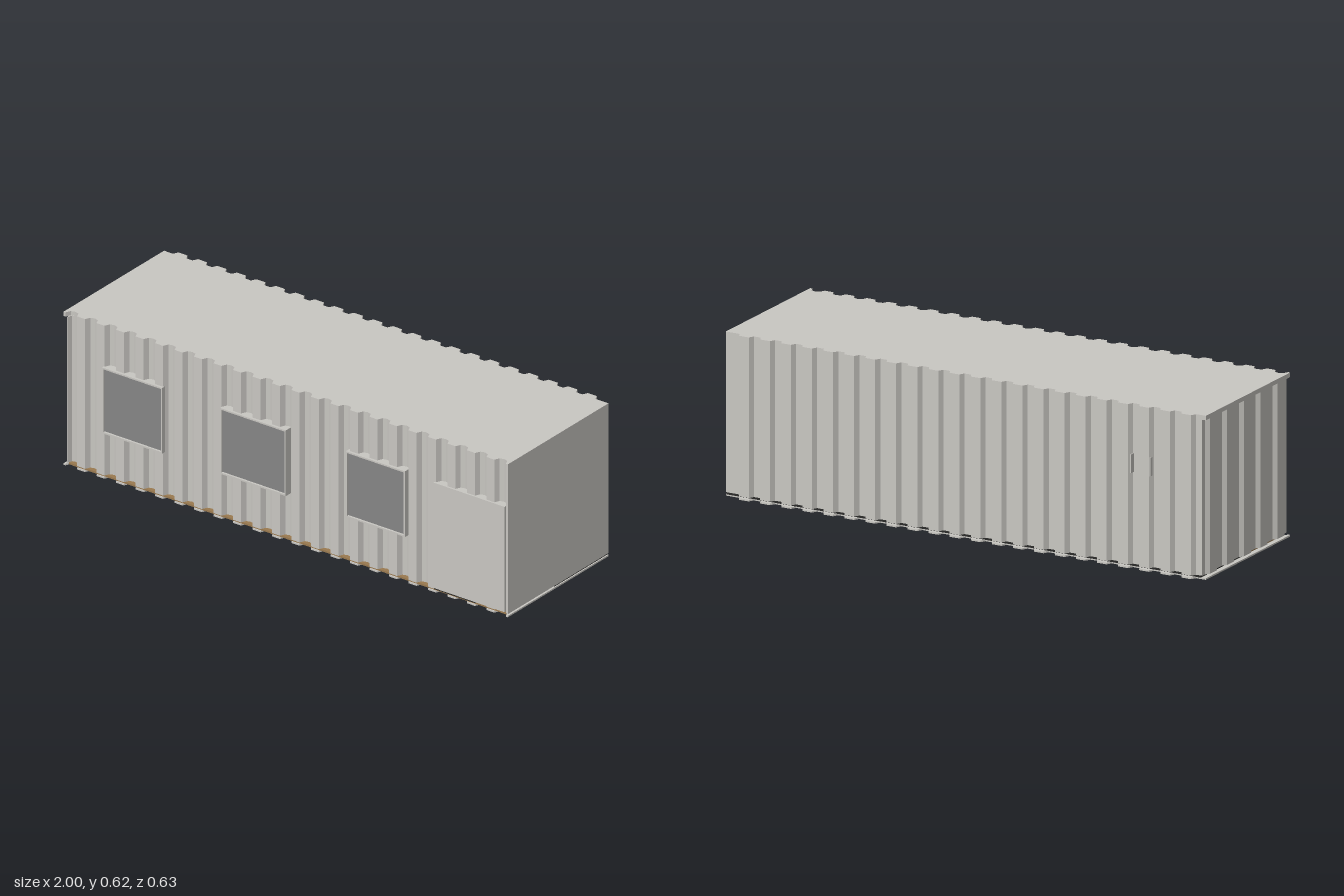
import * as THREE from 'three';

const mats = {
  panel: new THREE.MeshStandardMaterial({ color: 0xc9c7c2 }),
  glass: new THREE.MeshStandardMaterial({ color: 0x868686 }),
  floor: new THREE.MeshStandardMaterial({ color: 0x9a7a50 }),
  seam: new THREE.MeshStandardMaterial({ color: 0x2b2b29 }),
};
for (const key in mats) mats[key].name = key;

const PITCH = 0.0875;

// Plan outline in (x, -z): grooved front, flat right end, ribbed back, flat or ribbed left end
function outline(ribbedEnd) {
  const left = ribbedEnd ? -0.985 : -1;
  const pts = [[left, -0.305]];
  for (let i = 0; i < 23; i++) {
    const c = -0.965 + i * PITCH;
    const w = Math.min(0.026, c - left - 0.002);
    pts.push([c - w, -0.305], [c - w * 0.65, -0.285], [c, -0.28], [c + 0.017, -0.285], [c + 0.026, -0.305]);
  }
  pts.push([0.995, -0.305], [0.995, 0.295]);
  for (let i = 21; i >= 0; i--) {
    const c = -0.93 + i * PITCH;
    pts.push([c + 0.03, 0.295], [c + 0.02, 0.315], [c - 0.02, 0.315], [c - 0.03, 0.295]);
  }
  pts.push([left, 0.295]);
  if (ribbedEnd) {
    for (let i = 0; i < 5; i++) {
      const c = 0.235 - i * 0.12;
      pts.push([left, c + 0.04], [left - 0.012, c + 0.025], [left - 0.012, c - 0.025], [left, c - 0.04]);
    }
  }
  return new THREE.Shape(pts.map(([x, y]) => new THREE.Vector2(x, y)));
}

export function createModel() {
  const group = new THREE.Group();

  function layer(name, y0, y1, ribbedEnd) {
    const geo = new THREE.ExtrudeGeometry(outline(ribbedEnd), { depth: y1 - y0, bevelEnabled: false });
    geo.rotateX(-Math.PI / 2);
    const mesh = new THREE.Mesh(geo, mats.panel);
    mesh.position.y = y0;
    mesh.name = name;
    group.add(mesh);
  }

  function box(name, mat, x0, x1, y0, y1, z0, z1, parent = group) {
    const mesh = new THREE.Mesh(new THREE.BoxGeometry(x1 - x0, y1 - y0, z1 - z0), mat);
    mesh.position.set((x0 + x1) / 2, (y0 + y1) / 2, (z0 + z1) / 2);
    mesh.name = name;
    parent.add(mesh);
  }

  // Shell
  layer('base', 0, 0.006, false);
  layer('corrugatedWalls', 0.013, 0.6, true);
  layer('roof', 0.6, 0.617, false);

  // Floor edge and shadow gap between base and walls
  box('floorBoard', mats.floor, -0.98, 0.985, 0.006, 0.013, 0, 0.3);
  box('baseSeam', mats.seam, -0.98, 0.99, 0.006, 0.013, -0.298, 0.02);

  // Windows with thin projecting frames
  for (const [x0, x1] of [[-0.82, -0.55], [-0.29, 0.005], [0.275, 0.54]]) {
    const win = new THREE.Group();
    win.name = 'window';
    const y0 = 0.187, y1 = 0.452, t = 0.006;
    box('windowPane', mats.glass, x0 + t, x1 - t, y0 + t, y1 - t, 0.299, 0.307, win);
    box('frameLeft', mats.panel, x0, x0 + t, y0, y1, 0.28, 0.315, win);
    box('frameRight', mats.panel, x1 - t, x1, y0, y1, 0.28, 0.315, win);
    box('frameTop', mats.panel, x0 + t, x1 - t, y1 - t, y1, 0.28, 0.315, win);
    box('frameBottom', mats.panel, x0 + t, x1 - t, y0, y0 + t, 0.28, 0.315, win);
    group.add(win);
  }

  // Door with a dark sill gap
  box('door', mats.panel, 0.665, 0.985, 0.02, 0.445, 0.28, 0.312);
  box('doorSill', mats.seam, 0.665, 0.85, 0.013, 0.018, 0.29, 0.307);

  // Small bracket on the back wall
  box('bracketPost', mats.panel, -0.782, -0.778, 0.36, 0.43, -0.317, -0.29);
  box('bracketPost', mats.panel, -0.702, -0.698, 0.36, 0.43, -0.317, -0.29);
  return group;
}
